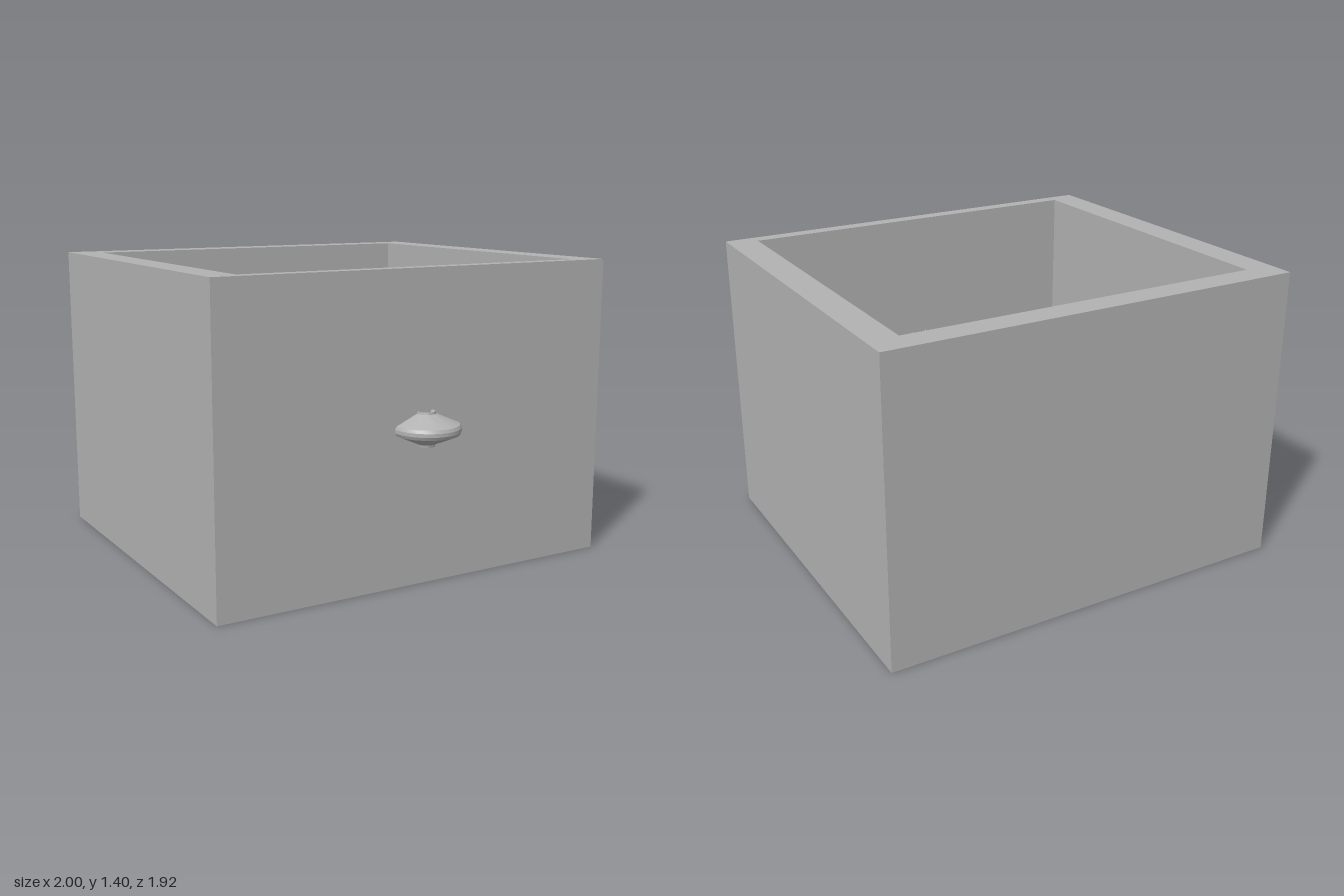
import * as THREE from 'three';
import { toCreasedNormals } from 'three/addons/utils/BufferGeometryUtils.js';

// Skins a run of equal-length closed rings of [x, y, z] points.
function loft(rings, crease) {
  const n = rings[0].length;
  const index = [];
  for (let i = 0; i < rings.length - 1; i++) {
    for (let j = 0; j < n; j++) {
      const k = (j + 1) % n;
      const a = i * n + j, b = a + n, c = (i + 1) * n + k, d = i * n + k;
      index.push(a, d, c, a, c, b);
    }
  }
  const geometry = new THREE.BufferGeometry();
  geometry.setAttribute('position', new THREE.Float32BufferAttribute(rings.flat(2), 3));
  geometry.setIndex(index);
  return toCreasedNormals(geometry, crease);
}

// Horizontal rectangle, running counterclockwise seen from above.
const rect = (x, zFront, zBack, y) =>
  [[-x, y, zFront], [x, y, zFront], [x, y, zBack], [-x, y, zBack]];

// Open box: underside, outer walls, rim, inner walls, floor.
function boxGeometry() {
  const floor = 0.08;
  return loft([
    rect(0, -0.085, -0.085, 0),
    rect(1, 0.79, -0.96, 0),
    rect(1, 0.79, -0.96, 1.4),
    rect(0.86, 0.725, -0.835, 1.4),
    rect(0.86, 0.725, -0.835, floor),
    rect(0, -0.055, -0.055, floor),
  ], 0.1);
}

// Pull: a bulging profile swept round a U whose legs pass through the front wall.
function pullGeometry() {
  const midY = 0.706, centreZ = 0.805;
  const upper = [
    [0.015, 0.045], [0.038, 0.078], [0.04, 0.067], [0.132, 0.027], [0.145, 0.022], [0.152, 0.008],
  ];
  const lower = upper.map(([r, h]) => [r, -h]).reverse();
  const profile = [...upper, ...lower];

  const legEnd = (side) => profile.map(([r, h]) =>
    [side * r, midY + h, 0.695 + (0.152 - r) * 0.18]);
  const cap = (side) => profile.map(() => [side * 0.08, midY, 0.708]);

  const rings = [cap(-1), legEnd(-1)];
  const steps = 16;
  for (let i = 0; i <= steps; i++) {
    const a = -Math.PI / 2 + (Math.PI * i) / steps;
    rings.push(profile.map(([r, h]) =>
      [r * Math.sin(a), midY + h, centreZ + r * Math.cos(a)]));
  }
  rings.push(legEnd(1), cap(1));
  return loft(rings, 0.4);
}

export function createModel() {
  const grey = new THREE.MeshStandardMaterial({ color: 0xb2b2b2 });
  grey.name = 'grey';

  const group = new THREE.Group();
  group.name = 'drawer';

  const box = new THREE.Mesh(boxGeometry(), grey);
  box.name = 'drawerBox';
  const pull = new THREE.Mesh(pullGeometry(), grey);
  pull.name = 'drawerPull';
  group.add(box, pull);
  return group;
}
